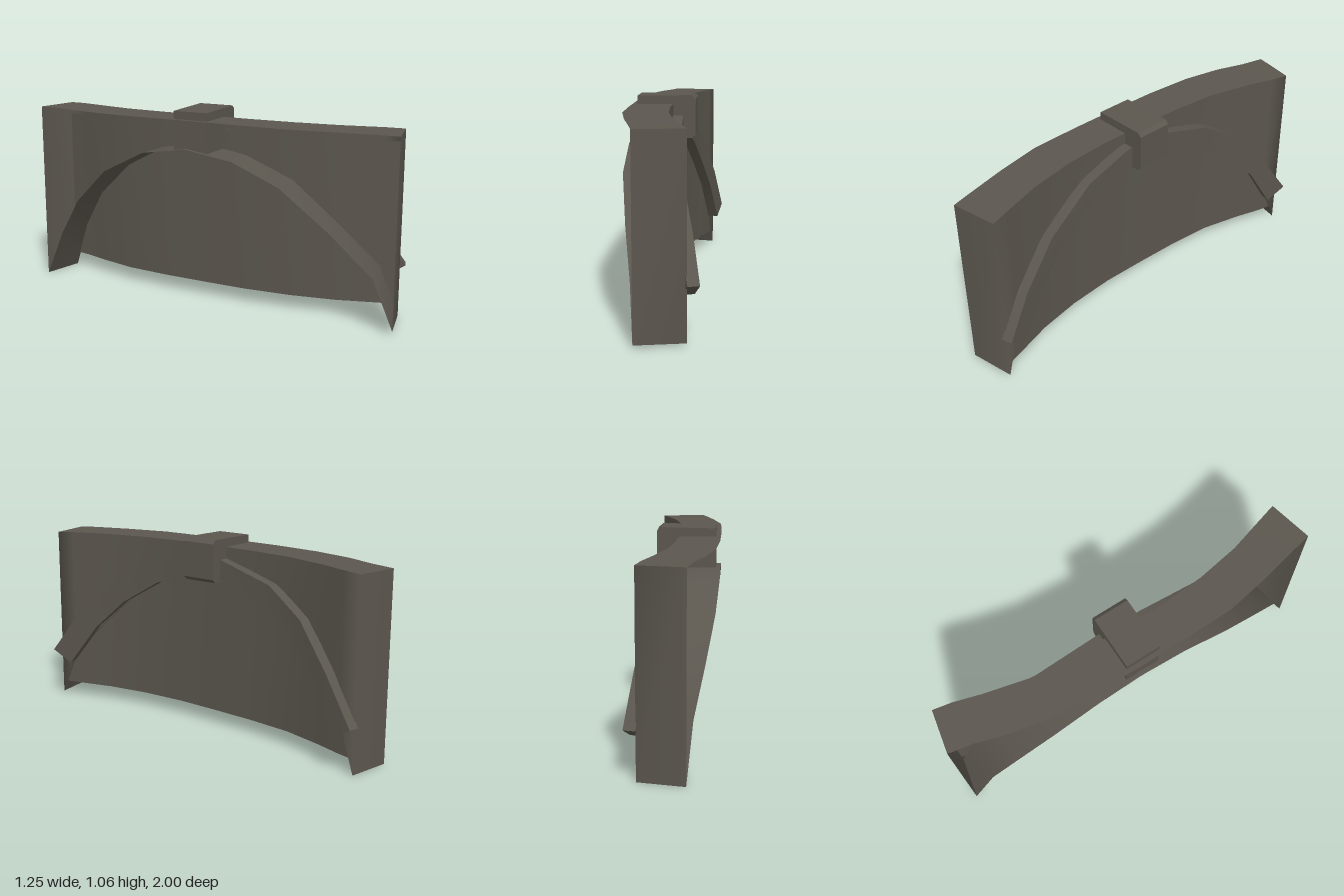
import * as THREE from 'three';

// Plan stations along the curved bay: left x,z, right x,z, soffit height
const STATIONS = [
  [-0.625, -0.89, -0.40, -0.96, 0.0],
  [-0.585, -0.76, -0.37, -0.86, 0.27],
  [-0.555, -0.60, -0.34, -0.71, 0.49],
  [-0.49, -0.39, -0.28, -0.48, 0.69],
  [-0.38, -0.15, -0.18, -0.25, 0.82],
  [-0.26, 0.08, -0.07, -0.03, 0.86],
  [-0.13, 0.32, 0.05, 0.20, 0.82],
  [0.00, 0.55, 0.19, 0.42, 0.71],
  [0.16, 0.75, 0.34, 0.61, 0.50],
  [0.31, 0.92, 0.50, 0.77, 0.28],
  [0.38, 1.00, 0.57, 0.84, 0.015],
];

// Moulding stations on the wall: inner z,y and outer z,y
const MOULDING = [
  [0.78, 0.22, 0.86, 0.29], [0.65, 0.46, 0.75, 0.50], [0.50, 0.63, 0.58, 0.70],
  [0.30, 0.77, 0.34, 0.87], [0.10, 0.84, 0.10, 0.95], [-0.10, 0.84, -0.10, 0.95],
  [-0.38, 0.74, -0.40, 0.86], [-0.58, 0.59, -0.62, 0.72], [-0.74, 0.42, -0.82, 0.49],
  [-0.87, 0.19, -0.98, 0.25],
];

// Smooth surface between two rows of points
function strip(a, b) {
  const index = [];
  const n = a.length;
  for (let i = 0; i < n - 1; i++) index.push(i, i + 1, n + i, i + 1, n + i + 1, n + i);
  const g = new THREE.BufferGeometry();
  g.setAttribute('position', new THREE.Float32BufferAttribute([...a, ...b].flat(), 3));
  g.setIndex(index);
  g.computeVertexNormals();
  return g;
}

// Point on the right wall at depth z, pushed out along the wall normal
function onWall(z, y, out) {
  let i = 0;
  while (i < STATIONS.length - 2 && STATIONS[i + 1][3] < z) i++;
  const [, , x0, z0] = STATIONS[i];
  const [, , x1, z1] = STATIONS[i + 1];
  const dx = x1 - x0, dz = z1 - z0, len = Math.hypot(dx, dz);
  const x = x0 + (dx * (z - z0)) / dz;
  return [x + (out * dz) / len, y, z - (out * dx) / len];
}

export function createModel() {
  const model = new THREE.Group();
  const stone = new THREE.MeshStandardMaterial({ color: 0x5b564e, side: THREE.DoubleSide });
  stone.name = 'darkStone';
  const add = (name, geometry, parent = model) => {
    const mesh = new THREE.Mesh(geometry, stone);
    mesh.name = name;
    parent.add(mesh);
    return mesh;
  };

  const last = STATIONS.length - 1;
  const topY = (i) => 1 + 0.012 * Math.sin((Math.PI * i) / last);
  const left = (s, y) => [s[0], y, s[1]];
  const right = (s, y) => [s[2], y, s[3]];

  // Wall face wrapping round both ends; its lower edge follows the arch
  const first = STATIONS[0], end = STATIONS[last];
  add('wallAndEnds', strip(
    [left(first, first[4]), ...STATIONS.map((s) => right(s, s[4])), left(end, end[4])],
    [left(first, 1), ...STATIONS.map((s, i) => right(s, topY(i))), left(end, 1)],
  ));

  // Top and arch underside
  add('wallTop', strip(STATIONS.map((s, i) => left(s, topY(i))), STATIONS.map((s, i) => right(s, topY(i)))));
  add('archSoffit', strip(STATIONS.map((s) => left(s, s[4])), STATIONS.map((s) => right(s, s[4]))));

  // Infill panel just behind the wall face
  add('infillPanel', strip(
    STATIONS.map((s) => onWall(s[3], 0.08, -0.008)),
    STATIONS.map((s) => onWall(s[3], 0.935, -0.008)),
  ));

  // Raised moulding: four strips and two end caps
  const moulding = new THREE.Group();
  moulding.name = 'archMoulding';
  model.add(moulding);
  const rails = [
    MOULDING.map((m) => onWall(m[0], m[1], -0.005)),
    MOULDING.map((m) => onWall(m[0], m[1], 0.055)),
    MOULDING.map((m) => onWall(m[2], m[3], 0.055)),
    MOULDING.map((m) => onWall(m[2], m[3], -0.005)),
  ];
  rails.forEach((rail, i) => add('mouldingSide', strip(rail, rails[(i + 1) % 4]), moulding));
  for (const k of [0, MOULDING.length - 1]) {
    add('mouldingEnd', strip([rails[0][k], rails[1][k]], [rails[3][k], rails[2][k]]), moulding);
  }

  // Keystone block with a chamfered outer edge
  const profile = new THREE.Shape([
    [-0.155, 0.83], [0.135, 0.83], [0.157, 0.85], [0.157, 1.04], [0.135, 1.06], [-0.155, 1.055],
  ].map(([x, y]) => new THREE.Vector2(x, y)));
  const block = new THREE.ExtrudeGeometry(profile, { depth: 0.195, bevelEnabled: false });
  block.translate(0, 0, -0.0975);
  const keystone = add('keystone', block);
  keystone.position.set(-0.092, 0, 0.012);
  keystone.rotation.y = 0.5;

  return model;
}
